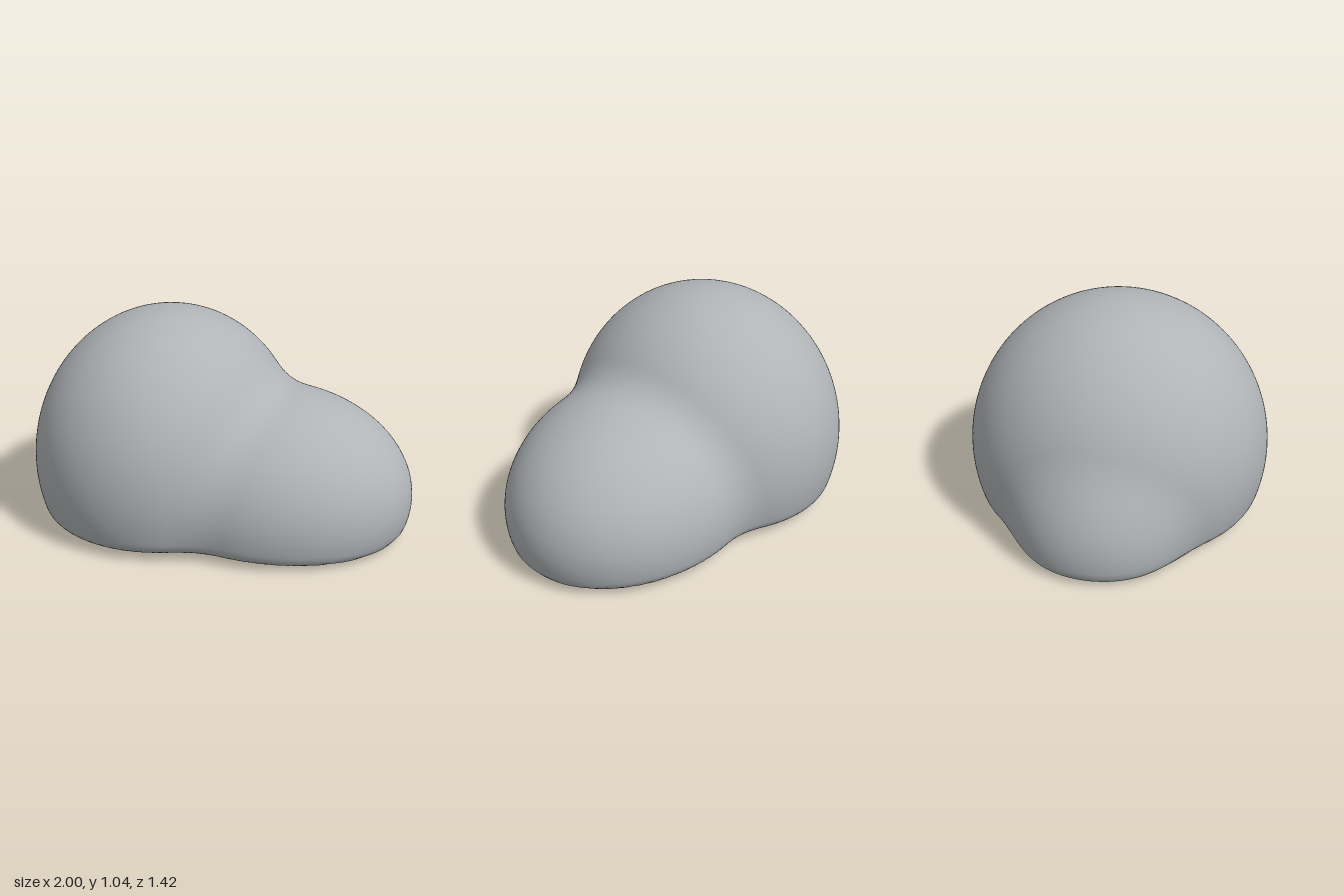
import * as THREE from 'three';

// Lobes of the boulder: centre, radii and a sideways lean of x along z
const LOBES = [
  { c: [-0.23, 0.3, 0], r: [0.66, 0.74, 0.71], lean: 0 },        // main dome
  { c: [0.3, 0.18, -0.065], r: [0.695, 0.52, 0.575], lean: 0.12 }, // low side lobe
  { c: [-0.65, 0.13, -0.03], r: [0.35, 0.4, 0.4], lean: 0 },     // small foot bulge
];

// Approximate signed distance to one ellipsoid
function lobeDistance(p, { c, r, lean }) {
  const z = p.z - c[2], y = p.y - c[1], x = p.x - c[0] + lean * z;
  const k0 = Math.hypot(x / r[0], y / r[1], z / r[2]);
  const k1 = Math.hypot(x / r[0] ** 2, y / r[1] ** 2, z / r[2] ** 2);
  return k1 < 1e-6 ? -Math.min(...r) : (k0 * (k0 - 1)) / k1;
}

function smoothMin(a, b, k) {
  const h = Math.max(k - Math.abs(a - b), 0) / k;
  return Math.min(a, b) - (h * h * k) / 4;
}

// Blended lobes, cut by a slightly arched underside with a rounded rim
function field(p) {
  const body = LOBES.map((l) => lobeDistance(p, l)).reduce((a, b) => smoothMin(a, b, 0.1));
  const floor = 0.028 - 0.026 * Math.min(1, (p.x * p.x) / 0.85) - p.y;
  return -smoothMin(-body, -floor, 0.07);
}

function fieldNormal(p) {
  const e = 0.004;
  const slope = (axis) => {
    const a = p.clone(), b = p.clone();
    a[axis] += e;
    b[axis] -= e;
    return field(a) - field(b);
  };
  return new THREE.Vector3(slope('x'), slope('y'), slope('z')).normalize();
}

export function createModel() {
  const grey = new THREE.MeshStandardMaterial({ color: 0xb0b4b7 });
  grey.name = 'stone grey';

  // Push each point of a ball out along its ray until it meets the surface
  const geometry = new THREE.IcosahedronGeometry(1, 36);
  const position = geometry.attributes.position;
  const normal = geometry.attributes.normal;
  const centre = new THREE.Vector3(0, 0.22, -0.03);
  const dir = new THREE.Vector3(), p = new THREE.Vector3();
  for (let i = 0; i < position.count; i++) {
    dir.fromBufferAttribute(position, i).normalize();
    let near = 0.05, far = 1.4;
    for (let step = 0; step < 22; step++) {
      const mid = (near + far) / 2;
      p.copy(centre).addScaledVector(dir, mid);
      if (field(p) < 0) near = mid;
      else far = mid;
    }
    const n = fieldNormal(p);
    position.setXYZ(i, p.x, p.y, p.z);
    normal.setXYZ(i, n.x, n.y, n.z);
  }

  const boulder = new THREE.Mesh(geometry, grey);
  boulder.name = 'boulder';
  const group = new THREE.Group();
  group.name = 'boulderModel';
  group.add(boulder);
  return group;
}
